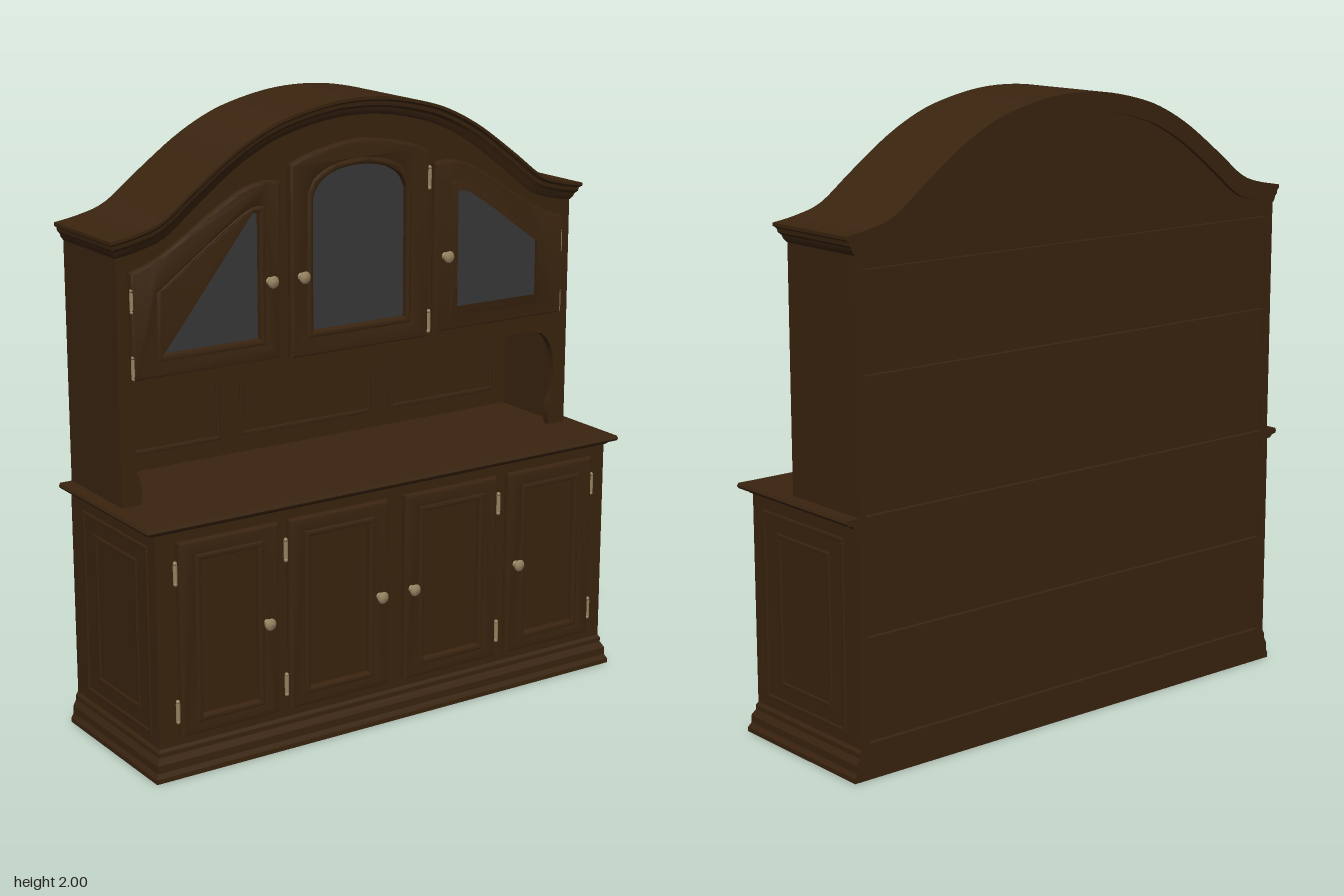
import * as THREE from 'three';
import { toCreasedNormals } from 'three/addons/utils/BufferGeometryUtils.js';

const BACK = -0.295;
const wood = new THREE.MeshStandardMaterial({ color: 0x3a240f, side: THREE.DoubleSide });
wood.name = 'dark wood';
const glass = new THREE.MeshStandardMaterial({ color: 0x383838, side: THREE.DoubleSide });
glass.name = 'grey glass';
const brass = new THREE.MeshStandardMaterial({ color: 0x968260 });
brass.name = 'aged brass';

const v2 = (list) => list.map(([x, y]) => new THREE.Vector2(x, y));
const mirrorX = (list) => list.map(([x, y]) => [-x, y]);

function add(parent, name, geometry, material = wood) {
  const mesh = new THREE.Mesh(geometry, material);
  mesh.name = name;
  parent.add(mesh);
  return mesh;
}

// Box given by its limits on each axis
function box(parent, name, x0, x1, y0, y1, z0, z1) {
  const geo = new THREE.BoxGeometry(x1 - x0, y1 - y0, z1 - z0);
  return add(parent, name, geo.translate((x0 + x1) / 2, (y0 + y1) / 2, (z0 + z1) / 2));
}

// Outline widened by m on every side about its middle
function grow(points, m) {
  const b = new THREE.Box2().setFromPoints(points);
  const c = b.getCenter(new THREE.Vector2());
  const s = b.getSize(new THREE.Vector2());
  return points.map((p) => new THREE.Vector2(
    c.x + (p.x - c.x) * (1 + 2 * m / s.x), c.y + (p.y - c.y) * (1 + 2 * m / s.y)));
}

// Bevelled board with an optional opening, from z0 to z1
function board(outer, inner, z0, z1, bevel = 0) {
  const shape = new THREE.Shape(outer);
  if (inner) shape.holes.push(new THREE.Path(inner));
  const geo = new THREE.ExtrudeGeometry(shape, {
    depth: z1 - z0 - bevel, bevelEnabled: bevel > 0, bevelThickness: bevel,
    bevelSize: bevel, bevelOffset: -bevel, bevelSegments: 2,
  });
  return toCreasedNormals(geo.translate(0, 0, z0), 0.5);
}

// Moulding round both sides and the front: levels are [overhang, y],
// front is a list of (share of half width, height) points
function moulding(levels, front, halfWidth, frontZ, capped = true) {
  const pos = [];
  const quad = (a, b, c, d) => pos.push(...a, ...b, ...c, ...a, ...c, ...d);
  const rows = levels.map(([o, y]) => ({
    f: front.map((p) => [p.x * (halfWidth + o), p.y + y, frontZ + o]),
    b: front.map((p) => [p.x * (halfWidth + o), p.y + y, BACK]),
  }));
  const n = front.length - 1;
  for (let k = 0; k + 1 < rows.length; k++) {
    const lo = rows[k], hi = rows[k + 1];
    quad(lo.b[0], lo.f[0], hi.f[0], hi.b[0]);
    quad(lo.f[n], lo.b[n], hi.b[n], hi.f[n]);
    for (let i = 0; i < n; i++) {
      quad(lo.f[i], lo.f[i + 1], hi.f[i + 1], hi.f[i]);
      quad(lo.b[i + 1], lo.b[i], hi.b[i], hi.b[i + 1]);
    }
  }
  const top = rows[rows.length - 1], low = rows[0];
  for (let i = 0; i < n; i++) {
    quad(top.f[i], top.f[i + 1], top.b[i + 1], top.b[i]);
    if (capped) quad(low.b[i], low.b[i + 1], low.f[i + 1], low.f[i]);
  }
  const geo = new THREE.BufferGeometry();
  geo.setAttribute('position', new THREE.Float32BufferAttribute(pos, 3));
  return toCreasedNormals(geo, 0.4);
}

// Door: frame, bead round the opening, and a filling plate
function door(parent, name, outer, inner, z, fillName, fillMaterial) {
  const g = new THREE.Group();
  g.name = name;
  add(g, 'doorFrame', board(outer, grow(inner, 0.012), z, z + 0.02, 0.009));
  add(g, 'doorBead', board(grow(inner, 0.022), inner, z, z + 0.025, 0.008));
  add(g, fillName, new THREE.ShapeGeometry(new THREE.Shape(inner)).translate(0, 0, z + 0.006), fillMaterial);
  parent.add(g);
}

const rect = (x0, x1, y0, y1) => v2([[x0, y0], [x1, y0], [x1, y1], [x0, y1]]);
// Straight foot with a curved top edge
const arched = (x0, x1, y0, top) => [...v2([[x0, y0], [x1, y0]]), ...new THREE.SplineCurve(v2(top)).getPoints(20)];

function knob(parent, x, y, z) {
  const profile = v2([[0.013, 0], [0.012, 0.004], [0.006, 0.008], [0.006, 0.017],
    [0.018, 0.021], [0.02, 0.026], [0.014, 0.032], [0, 0.034]]);
  add(parent, 'knob', new THREE.LatheGeometry(profile, 20).rotateX(Math.PI / 2).translate(x, y, z), brass);
}

function hinge(parent, x, y, z) {
  add(parent, 'hinge', new THREE.CylinderGeometry(0.007, 0.007, 0.055, 10).translate(x, y, z), brass);
  for (const s of [-1, 1]) {
    add(parent, 'hingeTip', new THREE.SphereGeometry(0.007, 8, 6).translate(x, y + s * 0.033, z), brass);
  }
}

export function createModel() {
  const model = new THREE.Group();
  model.name = 'dresser';
  const flat = v2([[-1, 0], [1, 0]]);

  // Lower cabinet
  const base = new THREE.Group();
  base.name = 'lowerCabinet';
  model.add(base);
  add(base, 'plinth', moulding([[0.025, 0], [0.025, 0.015], [0.017, 0.03], [0.017, 0.055],
    [0.006, 0.075], [0.006, 0.09], [0, 0.1]], flat, 0.86, 0.25, false));
  box(base, 'bottomBoard', -0.86, 0.86, 0.05, 0.07, BACK + 0.01, 0.25);
  box(base, 'lowerFront', -0.86, 0.86, 0.1, 0.795, 0.22, 0.25);
  box(base, 'lowerBack', -0.84, 0.84, 0.09, 0.795, -0.28, -0.265);
  for (const s of [-1, 1]) {
    const side = box(base, 'lowerSide', -0.015, 0.015, 0.1, 0.795, BACK, 0.225);
    side.position.x = s * 0.843;
    // Raised panels on the outside of each end
    const end = new THREE.Group();
    end.name = 'endPanel';
    add(end, 'endFrame', board(rect(-0.2, 0.22, 0.13, 0.74), rect(-0.185, 0.205, 0.145, 0.725), 0, 0.006, 0.004));
    add(end, 'endField', board(rect(-0.12, 0.15, 0.19, 0.68), rect(-0.105, 0.135, 0.205, 0.665), 0, 0.006, 0.004));
    end.rotation.y = s * Math.PI / 2;
    end.position.set(s * 0.857, 0, 0);
    if (s < 0) end.position.z = -0.02;
    base.add(end);
  }
  add(base, 'counter', moulding([[0.012, 0.785], [0.02, 0.795], [0.036, 0.798], [0.04, 0.805],
    [0.036, 0.815]], flat, 0.86, 0.238));
  for (const [x0, x1] of [[-0.79, -0.44], [-0.4, -0.03], [0.035, 0.4], [0.445, 0.795]]) {
    door(base, 'lowerDoor', rect(x0, x1, 0.13, 0.755), rect(x0 + 0.075, x1 - 0.075, 0.19, 0.69), 0.25, 'doorPanel', wood);
  }
  for (const x of [-0.485, -0.065, 0.06, 0.48]) knob(base, x, 0.44, 0.266);
  for (const x of [-0.8, -0.41, 0.41, 0.8]) for (const y of [0.215, 0.66]) hinge(base, x, y, 0.262);

  // Upper cabinet
  const upper = new THREE.Group();
  upper.name = 'upperCabinet';
  model.add(upper);
  const half = [[-0.885, 1.645], [-0.8, 1.66], [-0.71, 1.69], [-0.6, 1.772], [-0.465, 1.868],
    [-0.35, 1.93], [-0.25, 1.965], [-0.12, 1.992]];
  const crown = new THREE.SplineCurve(v2([...half, [0, 2], ...mirrorX(half).reverse()])).getPoints(72);
  const under = crown.map((p) => new THREE.Vector2(p.x * 0.855 / 0.885, p.y - 0.045));
  add(upper, 'cornice', moulding([[0, -0.058], [0.008, -0.048], [0.012, -0.036], [0.02, -0.028],
    [0.022, -0.016], [0.03, -0.01], [0.03, 0]],
  crown.map((p) => new THREE.Vector2(p.x / 0.885, p.y)), 0.855, 0.04));

  // Front board, cut away below with a wavy edge over the open niche
  const wave = [[0.79, 0.81], [0.785, 0.87], [0.803, 0.94], [0.803, 1.04], [0.78, 1.11], [0.72, 1.15],
    [0.55, 1.15], [0.35, 1.14], [0.2, 1.145], [0.1, 1.16]];
  const edge = new THREE.SplineCurve(v2([...wave, [0, 1.172], ...mirrorX(wave).reverse()])).getPoints(60);
  add(upper, 'upperFront', board([...v2([[-0.855, 0.81]]), ...under, ...v2([[0.855, 0.81]]), ...edge], null, 0.015, 0.04));
  add(upper, 'upperBack', board([...v2([[-0.845, 0.81]]), ...under, ...v2([[0.845, 0.81]])], null, -0.28, -0.265));
  for (const s of [-1, 1]) {
    box(upper, 'upperSide', -0.0125, 0.0125, 0.81, 1.6, BACK, 0.038).position.x = s * 0.8425;
  }
  box(upper, 'nicheCeiling', -0.835, 0.835, 1.19, 1.21, -0.27, 0.02);

  // Raised frames on the back wall of the niche
  for (const [x0, x1] of [[-0.775, -0.33], [-0.255, 0.26], [0.335, 0.775]]) {
    const r = rect(x0, x1, 0.87, 1.13);
    add(upper, 'nicheFrame', board(r, grow(r, -0.015), -0.265, -0.257, 0.004));
  }

  // Glazed doors
  door(upper, 'middleDoor',
    arched(-0.255, 0.265, 1.2, [[0.265, 1.81], [0.18, 1.842], [0.005, 1.87], [-0.17, 1.842], [-0.255, 1.81]]),
    arched(-0.175, 0.175, 1.28, [[0.175, 1.7], [0.15, 1.745], [0.09, 1.778], [0, 1.79], [-0.09, 1.778], [-0.15, 1.745], [-0.175, 1.7]]),
    0.04, 'glassPane', glass);
  const outerTop = [[0.29, 1.765], [0.35, 1.77], [0.43, 1.75], [0.52, 1.7], [0.62, 1.635], [0.72, 1.575], [0.815, 1.54]];
  const glassTop = [[0.37, 1.675], [0.42, 1.67], [0.52, 1.607], [0.62, 1.535], [0.71, 1.47]];
  for (const s of [-1, 1]) {
    const flip = (pts) => pts.map((p) => new THREE.Vector2(s * p.x, p.y));
    door(upper, s > 0 ? 'leftDoor' : 'rightDoor', flip(arched(0.815, 0.29, 1.21, outerTop)),
      flip(arched(0.71, 0.37, 1.28, glassTop)), 0.04, 'glassPane', glass);
    for (const y of [1.25, 1.455]) hinge(upper, s * 0.81, y, 0.052);
  }
  for (const y of [1.25, 1.72]) hinge(upper, 0.272, y, 0.052);
  for (const x of [-0.335, -0.22, 0.33]) knob(upper, x, 1.46, 0.058);

  // Shelf edges showing on the back
  for (const y of [0.1, 0.43, 0.8, 1.22, 1.53]) {
    box(model, 'backRail', -0.835, 0.835, y - 0.014, y + 0.014, BACK, -0.27);
  }
  return model;
}
